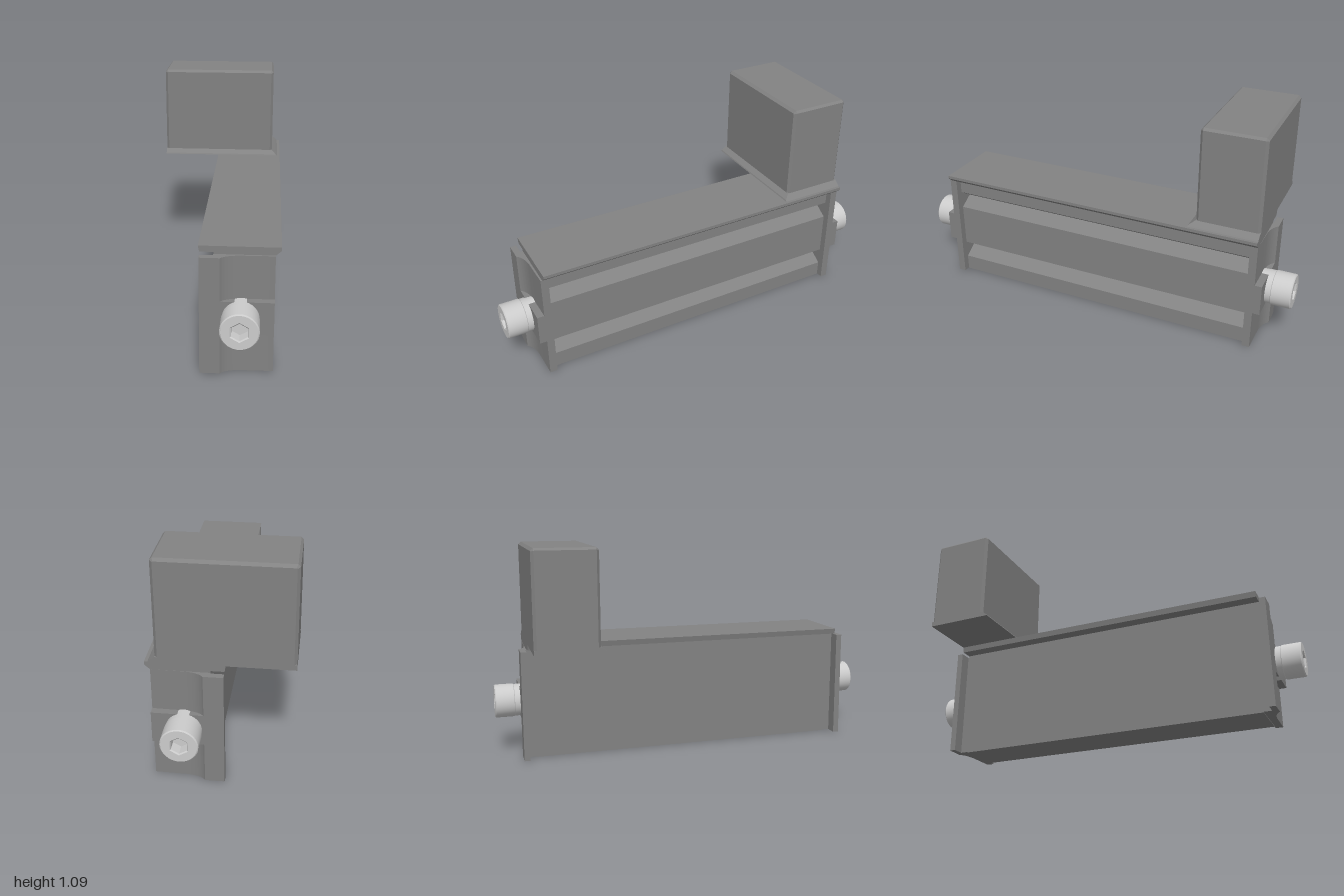
import * as THREE from 'three';
import { toCreasedNormals } from 'three/addons/utils/BufferGeometryUtils.js';
import { ConvexGeometry } from 'three/addons/geometries/ConvexGeometry.js';

const dark = new THREE.MeshStandardMaterial({ color: 0x828282 });
const light = new THREE.MeshStandardMaterial({ color: 0xcccccc });

const polygon = pts => new THREE.Shape(pts.map(([x, y]) => new THREE.Vector2(x, y)));

function circle(x, y, r, n = 32) {
  const pts = [];
  for (let i = 0; i < n; i++) {
    const a = Math.PI / 2 + (i / n) * Math.PI * 2;
    pts.push([x + r * Math.cos(a), y + r * Math.sin(a)]);
  }
  return polygon(pts);
}

// extrude a shape along z from z0 to z1, with an optional chamfer inside the outline
function prism(shape, z0, z1, bevel = 0) {
  const g = new THREE.ExtrudeGeometry(shape, {
    depth: z1 - z0 - 2 * bevel, bevelEnabled: bevel > 0, bevelSize: bevel,
    bevelThickness: bevel, bevelOffset: -bevel, bevelSegments: 1, curveSegments: 16,
  });
  g.translate(0, 0, z0 + bevel);
  return toCreasedNormals(g, 0.5);
}

export function createModel() {
  const model = new THREE.Group();
  const add = (name, geometry, material = dark, parent = model) => {
    const mesh = new THREE.Mesh(geometry, material);
    mesh.name = name;
    parent.add(mesh);
    return mesh;
  };

  // long bar with two V grooves along its right-hand face
  add('groovedBar', prism(polygon([
    [0.04, 0], [0.27, 0], [0.27, 0.08], [0.2, 0.125], [0.27, 0.17],
    [0.27, 0.39], [0.2, 0.433], [0.27, 0.48], [0.27, 0.57], [0.04, 0.57],
  ]), -0.805, 0.805));

  // top plate overhanging both sides
  add('topPlate', prism(polygon([
    [-0.02, 0.569], [0.04, 0.569], [0.04, 0.56], [0.305, 0.56],
    [0.33, 0.582], [0.33, 0.597], [-0.026, 0.597],
  ]), -0.84, 0.832));

  // mounting block: drilled core with a chamfered rim around it
  const core = polygon([[-0.317, 0.6], [0.272, 0.6], [0.272, 1.072], [-0.317, 1.072]]);
  core.holes.push(circle(-0.025, 0.84, 0.103, 24), circle(0.16, 0.98, 0.062), circle(-0.21, 0.7, 0.062));
  add('drilledBlock', prism(core, -0.84, -0.53));
  const rim = polygon([
    [-0.33, 0.6], [0.285, 0.6], [0.285, 1.074], [0.274, 1.085], [-0.319, 1.085], [-0.33, 1.074],
  ]);
  rim.holes.push(polygon([[-0.3, 0.625], [-0.3, 1.058], [0.255, 1.058], [0.255, 0.625]]));
  add('blockRim', prism(rim, -0.84, -0.53, 0.013));

  // flared foot of the block
  const foot = [];
  for (const [y, x, z] of [[0.597, 0.315, -0.5], [0.603, 0.308, -0.503], [0.622, 0.285, -0.53]]) {
    for (const px of [-0.33, x]) for (const pz of [-0.84, z]) foot.push(new THREE.Vector3(px, y, pz));
  }
  add('blockFoot', new ConvexGeometry(foot));

  // end caps with a hooked lip, a scooped face and a bolt
  for (const s of [1, -1]) {
    const end = new THREE.Group();
    end.name = s > 0 ? 'frontEnd' : 'backEnd';
    model.add(end);

    const cap = new THREE.Shape();
    cap.moveTo(-0.02, -s * 0.875);
    cap.lineTo(0.07, -s * 0.875);
    cap.quadraticCurveTo(0.095, -s * 0.845, 0.16, -s * 0.842);
    for (const [x, z] of [[0.305, 0.84], [0.305, 0.803], [0.04, 0.803], [0.04, 0.845], [-0.02, 0.845]]) {
      cap.lineTo(x, -s * z);
    }
    add('endCap', prism(cap, 0.003, 0.56).rotateX(-Math.PI / 2), dark, end);

    const seat = add('boltSeat', new THREE.BoxGeometry(0.235, 0.155, 0.045), dark, end);
    seat.position.set(0.1875, 0.28, s * 0.8525);

    // socket-head bolt
    const bolt = new THREE.Group();
    bolt.name = 'bolt';
    bolt.position.set(0.16, 0.28, 0);
    if (s < 0) bolt.rotation.y = Math.PI;
    end.add(bolt);
    const head = circle(0, 0, 0.085, 40);
    head.holes.push(circle(0, 0, 0.041, 6));
    add('boltHead', prism(head, 0.9, 1, 0.005), light, bolt);
    add('socketFloor', prism(circle(0, 0, 0.06), 0.91, 0.945), light, bolt);
    add('washer', prism(circle(0, 0, 0.082, 40), 0.84, 0.902), light, bolt);
  }
  return model;
}
